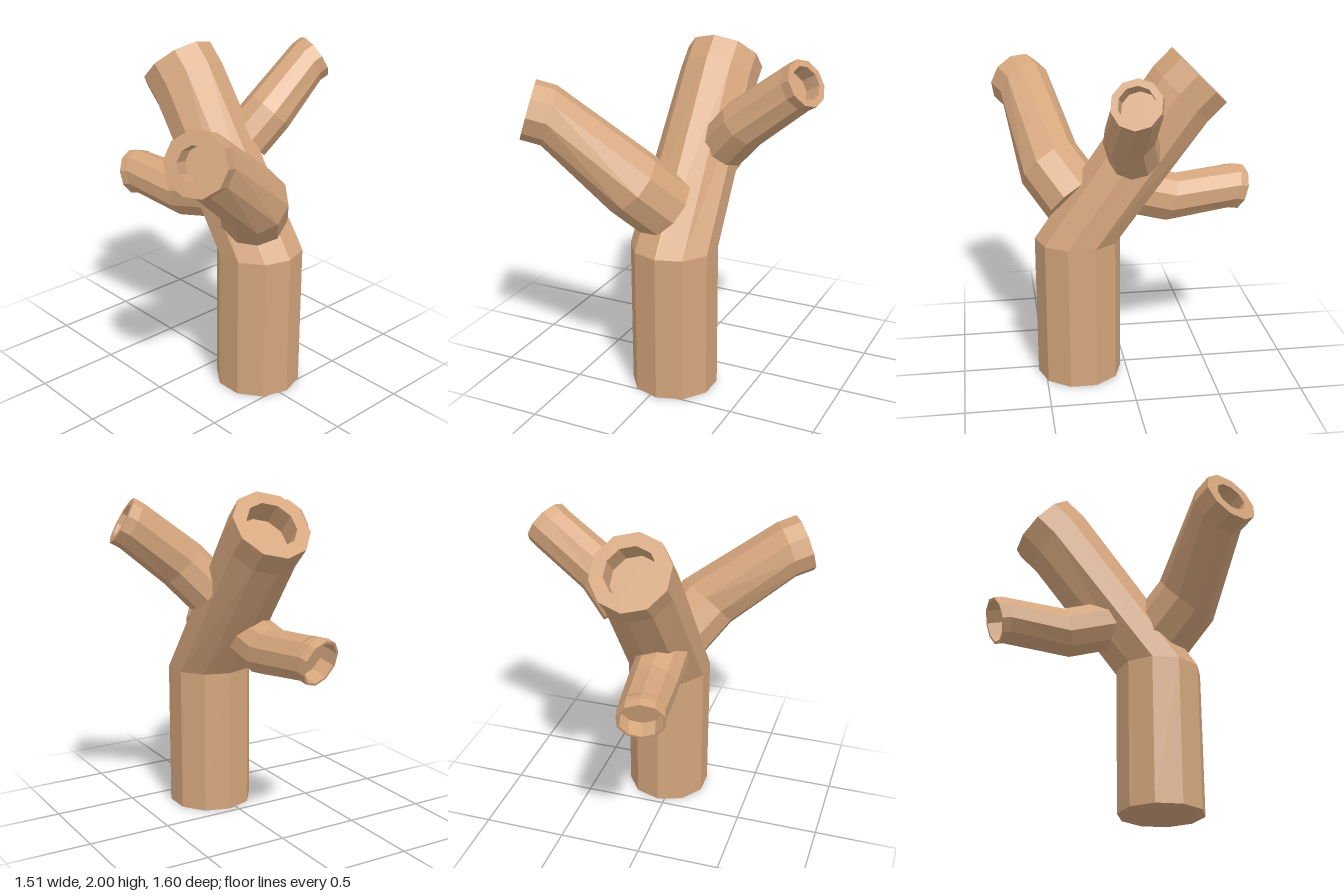
import * as THREE from 'three';

const SIDES = 10;
const V = (a) => new THREE.Vector3(...a);

// A bent log: a straight base sleeve and a straight tip sleeve, joined,
// with a shallow round hollow sunk into the tip.
function logGeometry({ base, baseDir, baseLength, baseRadius, tip, tipDir, tipLength, tipRadius, hole, depth }) {
  const n0 = V(baseDir).normalize(), n1 = V(tipDir).normalize();
  const q0 = new THREE.Quaternion().setFromUnitVectors(V([0, 1, 0]), n0);
  const q1 = new THREE.Quaternion().setFromUnitVectors(n0, n1).multiply(q0);
  const start = V(base), end = V(tip);
  const along = (p, n, d) => p.clone().addScaledVector(n, d);

  // centre, rotation, radius of each cross-section
  const rings = [
    [start, q0, 0],
    [start, q0, baseRadius],
    [along(start, n0, baseLength), q0, baseRadius],
    [along(end, n1, -tipLength), q1, tipRadius],
    [end, q1, tipRadius],
    [end, q1, hole],
    [along(end, n1, -depth), q1, hole],
    [along(end, n1, -depth), q1, 0],
  ].map(([c, q, r]) => Array.from({ length: SIDES }, (_, k) => {
    const a = (k / SIDES) * Math.PI * 2;
    return new THREE.Vector3(Math.cos(a) * r, 0, -Math.sin(a) * r).applyQuaternion(q).add(c);
  }));

  const pts = [];
  for (let i = 0; i < rings.length - 1; i++) {
    for (let k = 0; k < SIDES; k++) {
      const m = (k + 1) % SIDES;
      const a = rings[i][k], b = rings[i][m], c = rings[i + 1][m], d = rings[i + 1][k];
      if (i > 0) pts.push(a, b, c);
      if (i === 0) pts.push(a, c, d);
      else if (i < rings.length - 2) pts.push(a, c, d);
    }
  }
  const g = new THREE.BufferGeometry().setFromPoints(pts);
  g.computeVertexNormals();
  return g;
}

export function createModel() {
  const group = new THREE.Group();
  const wood = new THREE.MeshStandardMaterial({ color: 0xd4a57c, flatShading: true });
  wood.name = 'wood';

  const parts = {
    trunk: {
      base: [0.288, 0, -0.045], baseDir: [0, 1, 0], baseLength: 0.88, baseRadius: 0.255,
      tip: [-0.43, 1.835, -0.045], tipDir: [-0.71, 0.71, 0], tipLength: 0.15, tipRadius: 0.232,
      hole: 0.15, depth: 0.14,
    },
    frontBranch: {
      base: [0.29, 1.1, 0.01], baseDir: [0.53, 0.665, 0.53], baseLength: 0.27, baseRadius: 0.2,
      tip: [0.595, 1.675, 0.705], tipDir: [0.45, 0.3, 0.84], tipLength: 0.12, tipRadius: 0.174,
      hole: 0.1, depth: 0.12,
    },
    backBranch: {
      base: [-0.03, 1.42, -0.22], baseDir: [0.24, 0.73, -0.67], baseLength: 0.22, baseRadius: 0.152,
      tip: [0.04, 1.85, -0.725], tipDir: [0.28, 0.5, -0.82], tipLength: 0.06, tipRadius: 0.14,
      hole: 0.1, depth: 0.1,
    },
    sideBranch: {
      base: [0, 1.15, 0.02], baseDir: [-0.95, -0.25, 0.04], baseLength: 0.29, baseRadius: 0.15,
      tip: [-0.71, 1.095, 0.1], tipDir: [-0.93, -0.28, 0.25], tipLength: 0.05, tipRadius: 0.14,
      hole: 0.125, depth: 0.1,
    },
  };

  for (const [name, spec] of Object.entries(parts)) {
    const mesh = new THREE.Mesh(logGeometry(spec), wood);
    mesh.name = name;
    group.add(mesh);
  }
  return group;
}
